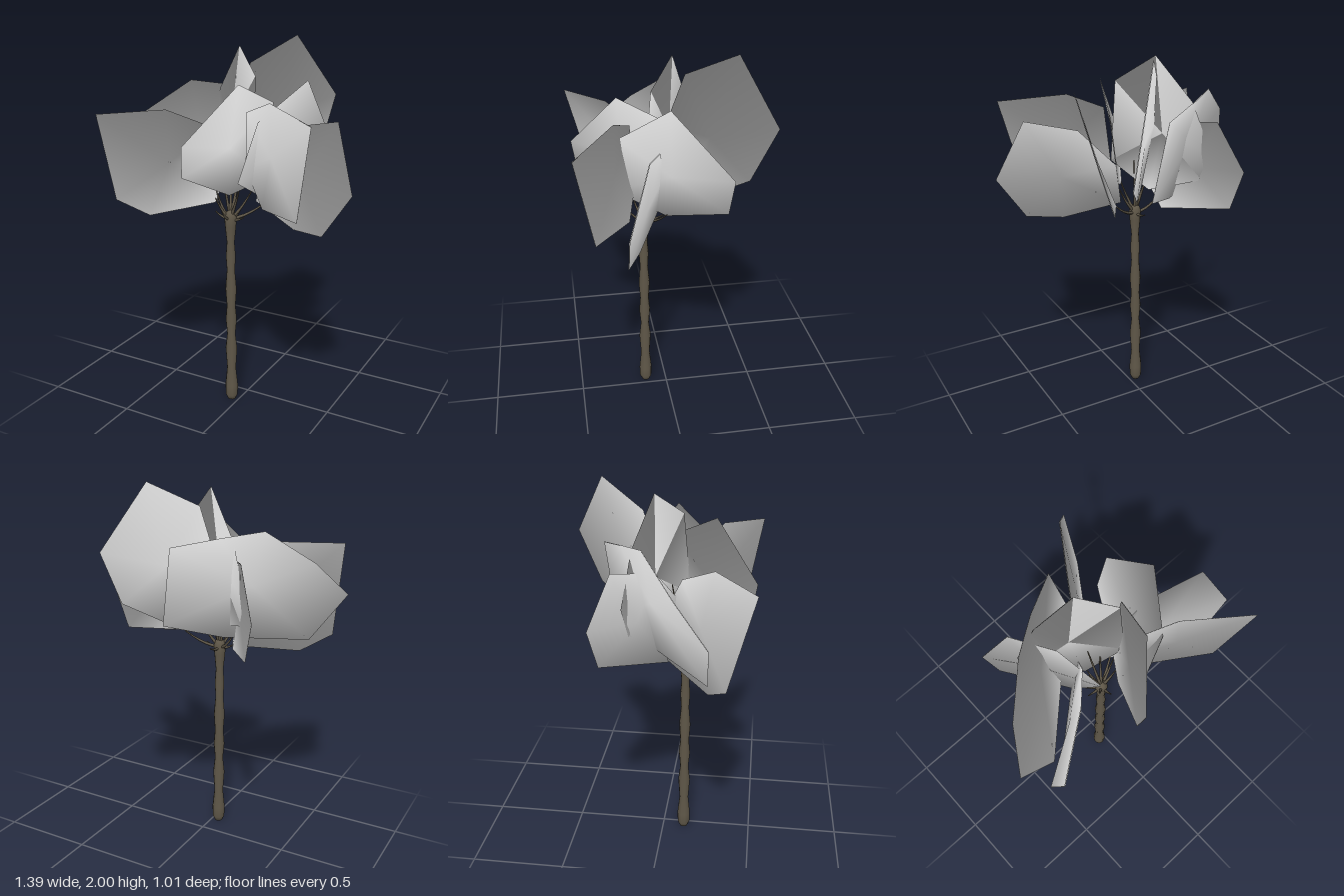
import * as THREE from 'three';

const BARK = new THREE.MeshStandardMaterial({ color: 0x5f5748, side: THREE.DoubleSide });
const LEAF = new THREE.MeshStandardMaterial({ color: 0xcccccc, side: THREE.DoubleSide });
const CROWN = new THREE.Vector3(-0.04, 1.08, 0.12);
const FOLIAGE_CENTRE = new THREE.Vector3(-0.03, 1.38, 0.05);
const HALF_THICKNESS = 0.0015;

// Outline corners [x, y, z] of each large leaf panel, in order around its rim
const LEAVES = {
  frontRightLeaf: [[-0.6, 1.645, 0.485], [-0.32, 1.66, 0.28], [-0.16, 1.56, 0.11], [-0.1, 1.35, 0.01],
    [-0.18, 1.13, 0.04], [-0.45, 1.08, 0.27], [-0.6, 1.17, 0.36]],
  frontLeftLeaf: [[0.575, 1.695, 0.5], [0.27, 1.74, 0.29], [0.1, 1.67, 0.2], [0.08, 1.38, 0.17],
    [0.2, 1.195, 0.22], [0.475, 1.22, 0.41]],
  frontLeaf: [[-0.12, 1.37, 0.455], [-0.1, 1.53, 0.48], [0.09, 1.81, 0.26], [0.16, 1.7, 0.03],
    [0.12, 1.3, 0.01], [0, 1.235, 0.2]],
  leftLeaf: [[0.35, 1.82, 0.035], [0.36, 1.45, -0.28], [0.29, 1.245, -0.27], [0.13, 1.18, 0.02],
    [0.1, 1.33, 0.29], [0.2, 1.64, 0.27]],
  outerLeftLeaf: [[0.69, 1.345, 0.275], [0.565, 1.66, 0.165], [0.31, 1.6, 0.08], [0.12, 1.4, 0.03],
    [0.08, 1.18, 0.06], [0.36, 1.105, 0.19], [0.54, 1.12, 0.265]],
  tallBackLeaf: [[0.117, 2, -0.335], [0.28, 1.675, -0.505], [0.25, 1.4, -0.38], [0.1, 1.25, -0.15],
    [-0.02, 1.25, 0.02], [-0.08, 1.6, -0.01], [-0.04, 1.87, -0.1]],
  outerRightLeaf: [[-0.7, 1.42, 0.28], [-0.58, 1.6, 0.11], [-0.38, 1.765, -0.06], [-0.2, 1.735, -0.19],
    [0.01, 1.69, -0.31], [0.08, 1.28, -0.27], [-0.15, 1.2, -0.06], [-0.5, 1.15, 0.27]],
  backRightLeaf: [[-0.44, 1.37, -0.32], [-0.33, 1.63, -0.22], [-0.2, 1.6, -0.02], [-0.1, 1.33, 0.18],
    [-0.16, 1.11, 0.04], [-0.39, 1.165, -0.28]],
  innerLeaf: [[-0.07, 1.96, -0.04], [0.09, 1.83, 0.09], [0.1, 1.4, 0.13], [-0.08, 1.23, 0.04],
    [-0.3, 1.3, -0.14], [-0.33, 1.45, -0.17], [-0.24, 1.72, -0.13]],
};

// Thin panel of two fans set back to back; the normals point away from the
// foliage centre so the crown shades as one rounded mass
function leafGeometry(corners) {
  const rim = corners.map(c => new THREE.Vector3(...c));
  const n = rim.length;
  const centre = new THREE.Vector3();
  rim.forEach(p => centre.addScaledVector(p, 1 / n));
  const facing = new THREE.Vector3();
  rim.forEach((p, i) => facing.add(p.clone().sub(centre).cross(rim[(i + 1) % n].clone().sub(centre))));
  facing.normalize();

  const positions = [], normals = [], index = [];
  for (const side of [1, -1]) {
    const first = positions.length / 3;
    for (const p of [centre, ...rim]) {
      positions.push(...p.clone().addScaledVector(facing, side * HALF_THICKNESS).toArray());
      normals.push(...p.clone().sub(FOLIAGE_CENTRE).normalize().toArray());
    }
    for (let i = 0; i < n; i++) {
      const a = first + 1 + i, b = first + 1 + (i + 1) % n;
      index.push(first, ...(side > 0 ? [a, b] : [b, a]));
    }
  }
  const g = new THREE.BufferGeometry();
  g.setAttribute('position', new THREE.Float32BufferAttribute(positions, 3));
  g.setAttribute('normal', new THREE.Float32BufferAttribute(normals, 3));
  g.setIndex(index);
  return g;
}

// Twig that tapers from the crown along a bent path
function twigGeometry(end, lift) {
  const mid = CROWN.clone().lerp(end, 0.5);
  mid.y += lift;
  const path = new THREE.QuadraticBezierCurve3(CROWN, mid, end);
  const rings = 6, sides = 6;
  const g = new THREE.TubeGeometry(path, rings, 0.01, sides);
  const p = g.attributes.position, v = new THREE.Vector3();
  for (let i = 0; i < p.count; i++) {
    const t = Math.floor(i / (sides + 1)) / rings;
    const c = path.getPointAt(t);
    v.fromBufferAttribute(p, i).sub(c).multiplyScalar(1 - 0.7 * t).add(c);
    p.setXYZ(i, v.x, v.y, v.z);
  }
  return g;
}

export function createModel() {
  const model = new THREE.Group();
  const add = (name, geometry, material) => {
    const mesh = new THREE.Mesh(geometry, material);
    mesh.name = name;
    model.add(mesh);
    return mesh;
  };

  // Knobbly trunk with a rounded foot
  const profile = [[0, 0], [0.022, 0.003], [0.034, 0.03], [0.036, 0.09], [0.025, 0.2], [0.033, 0.32],
    [0.023, 0.41], [0.031, 0.5], [0.024, 0.58], [0.031, 0.68], [0.022, 0.79], [0.027, 0.87],
    [0.021, 0.95], [0.03, 1.04], [0.034, 1.09], [0.022, 1.12], [0, 1.13]];
  const trunk = add('trunk', new THREE.LatheGeometry(profile.map(p => new THREE.Vector2(...p)), 10), BARK);
  trunk.position.set(CROWN.x, 0, CROWN.z);

  // Twigs fanning out of the crown: [end x, y, z, bend]
  [[-0.165, 1.2, 0.05, -0.05], [0.14, 1.19, 0.02, -0.04], [-0.13, 1.11, 0.12, -0.02], [0.04, 1.1, 0.12, -0.02],
    [-0.045, 1.14, 0.2, -0.03], [-0.1, 1.3, 0.09, 0], [0.03, 1.26, 0.15, -0.02], [0.07, 1.24, 0.09, -0.03],
    [-0.04, 1.1, 0.01, -0.02], [-0.07, 1.5, 0.05, 0], [0, 1.4, 0.06, 0], [-0.1, 1.2, 0.17, -0.03],
  ].forEach(([x, y, z, lift]) => add('twig', twigGeometry(new THREE.Vector3(x, y, z), lift), BARK));

  // Leaf panels
  for (const [name, corners] of Object.entries(LEAVES)) add(name, leafGeometry(corners), LEAF);

  return model;
}
